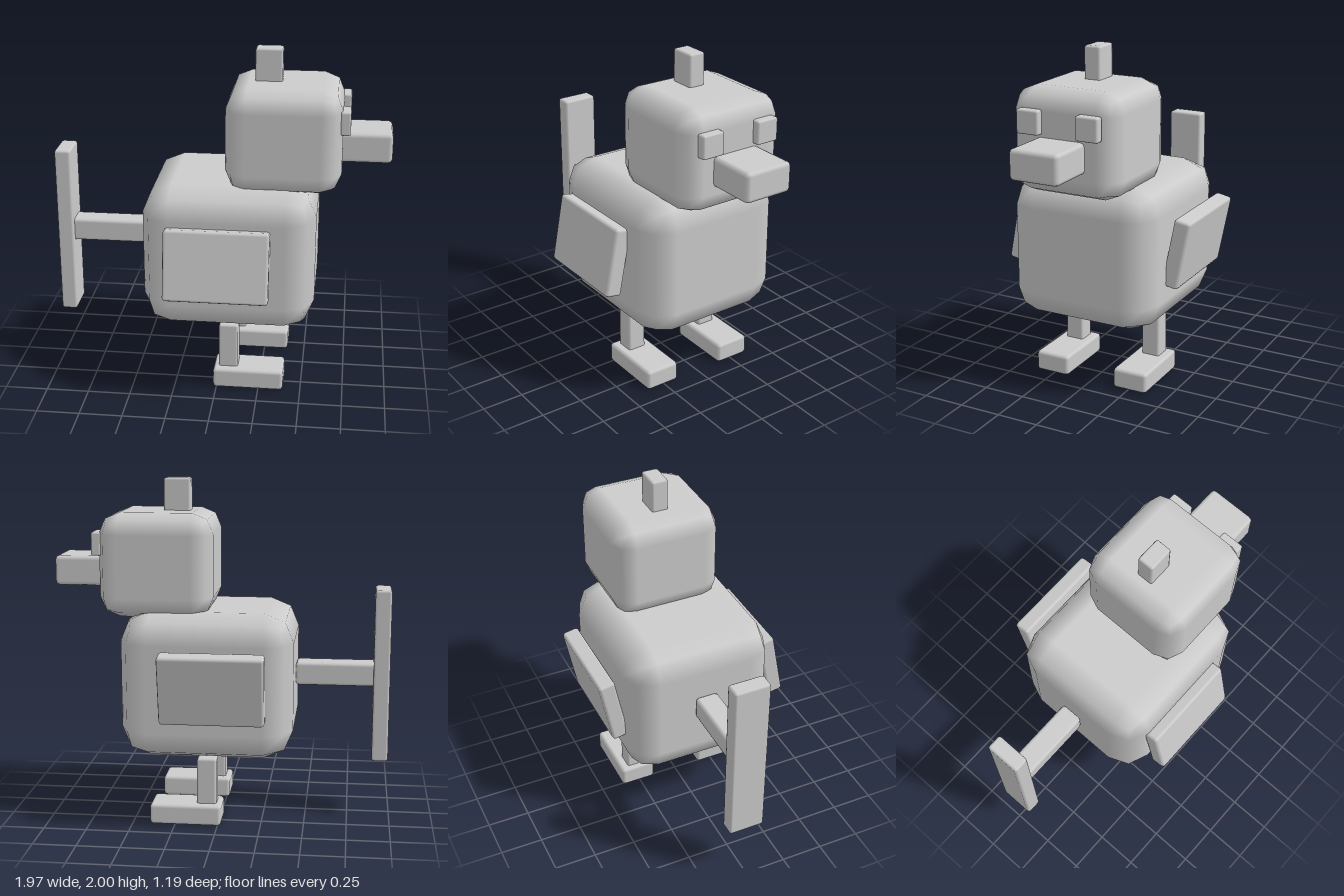
import * as THREE from 'three';
import { RoundedBoxGeometry } from 'three/addons/geometries/RoundedBoxGeometry.js';

export function createModel() {
  const model = new THREE.Group();
  model.name = 'blockBird';
  const grey = new THREE.MeshStandardMaterial({ color: 0xcccccc });
  grey.name = 'plain grey';

  // Bevelled block spanning [min, max] on each axis
  function block(name, [x0, x1], [y0, y1], [z0, z1], radius = 0.018) {
    const geometry = new RoundedBoxGeometry(x1 - x0, y1 - y0, z1 - z0, 1, radius);
    const mesh = new THREE.Mesh(geometry, grey);
    mesh.name = name;
    mesh.position.set((x0 + x1) / 2, (y0 + y1) / 2, (z0 + z1) / 2);
    model.add(mesh);
    return mesh;
  }

  // Body and head, with wide soft bevels
  block('body', [-0.433, 0.567], [0.403, 1.255], [-0.452, 0.452], 0.17);
  block('head', [0.037, 0.698], [1.21, 1.812], [-0.33, 0.33], 0.12);

  // Crest and beak
  block('crest', [0.19, 0.346], [1.78, 2], [-0.05, 0.05], 0.013);
  block('beak', [0.66, 0.98], [1.375, 1.55], [-0.149, 0.149], 0.025);

  // Tail rod and upright tail blade
  block('tailRod', [-0.91, -0.433], [0.79, 0.928], [-0.07, 0.07], 0.02);
  block('tailBlade', [-0.985, -0.89], [0.346, 1.37], [-0.107, 0.107], 0.015);

  for (const side of [1, -1]) {
    const label = side > 0 ? 'near' : 'far';
    const span = (a, b) => (side > 0 ? [a, b] : [-b, -a]);

    block(label + 'Eye', [0.682, 0.74], [1.565, 1.702], span(0.113, 0.25), 0.012);

    // Both wings lean the same way
    const wing = block(label + 'Wing', [-0.283, 0.316], [0.651, 1.064], span(0.458, 0.558), 0.018);
    wing.rotation.x = -0.19;

    block(label + 'Leg', [0.011, 0.125], [0.09, 0.394], span(0.204, 0.318), 0.014);
    block(label + 'Foot', [-0.02, 0.397], [0, 0.122], span(0.153, 0.368), 0.02);
  }

  return model;
}
